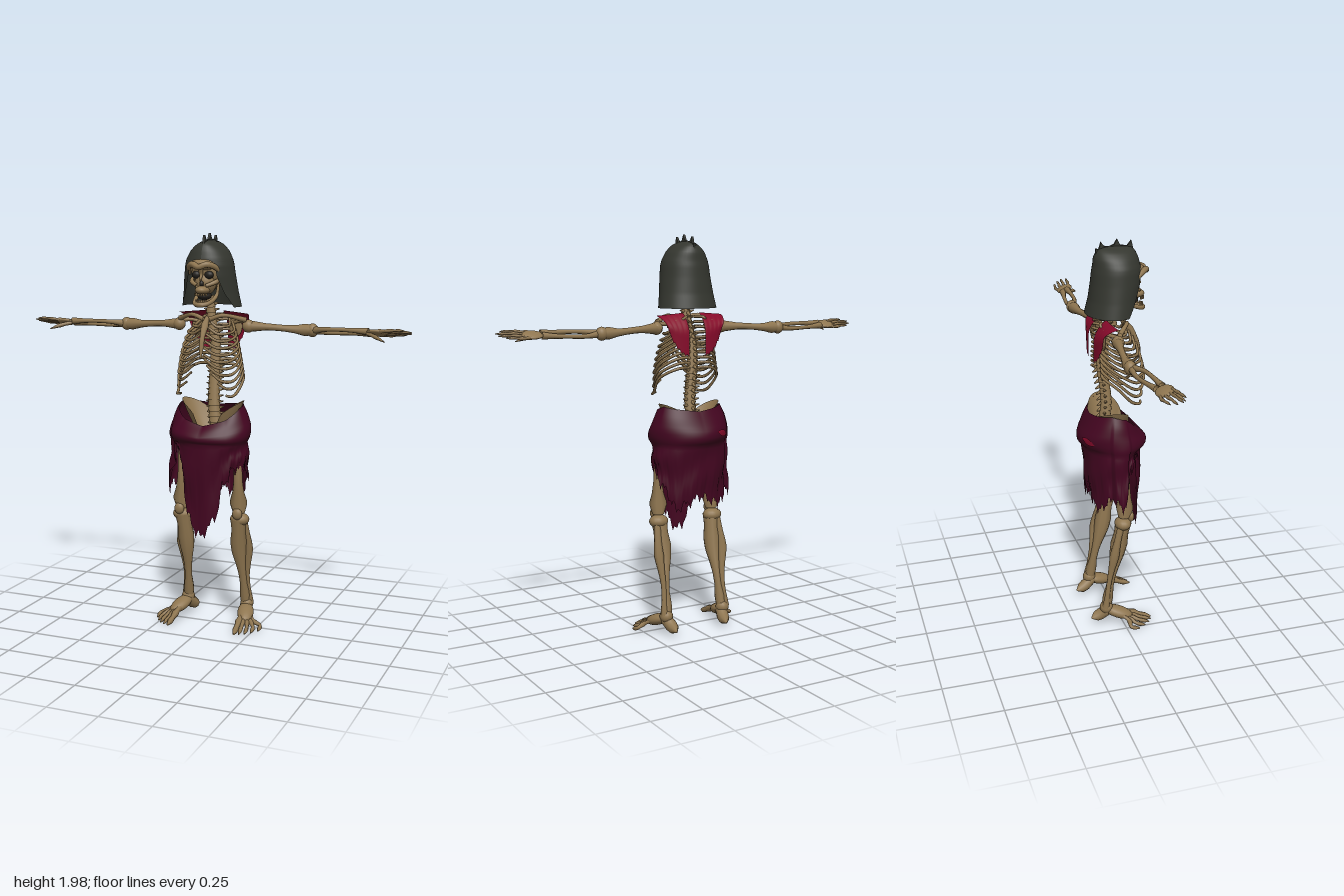
import * as THREE from 'three';

const mat = (name, color, side = THREE.FrontSide) => {
  const m = new THREE.MeshStandardMaterial({ color, side });
  m.name = name;
  return m;
};
const V = (x, y, z) => new THREE.Vector3(x, y, z);
const lerp = THREE.MathUtils.lerp;

// Piecewise linear lookup in a list of [key, value...] rows
function pick(rows, k, c = 1) {
  let i = 0;
  while (i < rows.length - 2 && k > rows[i + 1][0]) i++;
  const a = rows[i], b = rows[i + 1];
  return lerp(a[c], b[c], THREE.MathUtils.clamp((k - a[0]) / (b[0] - a[0]), 0, 1));
}

// Surface from a rule f(u, v, column) -> [x, y, z]
function sheet(nu, nv, f) {
  const p = [], idx = [];
  for (let j = 0; j <= nv; j++) for (let i = 0; i <= nu; i++) p.push(...f(i / nu, j / nv, i));
  for (let j = 0; j < nv; j++) for (let i = 0; i < nu; i++) {
    const a = j * (nu + 1) + i, b = a + nu + 1;
    idx.push(a, b, a + 1, a + 1, b, b + 1);
  }
  const g = new THREE.BufferGeometry();
  g.setAttribute('position', new THREE.Float32BufferAttribute(p, 3));
  g.setIndex(idx);
  g.computeVertexNormals();
  return g;
}

// Tube whose radius follows a list of values along its length
function taper(points, radii, seg, sides) {
  const g = new THREE.TubeGeometry(new THREE.CatmullRomCurve3(points), seg, 1, sides);
  const p = g.attributes.position, n = g.attributes.normal;
  for (let i = 0; i < p.count; i++) {
    const u = Math.floor(i / (sides + 1)) / seg * (radii.length - 1);
    const k = Math.min(Math.floor(u), radii.length - 2);
    const d = lerp(radii[k], radii[k + 1], u - k) - 1;
    p.setXYZ(i, p.getX(i) + n.getX(i) * d, p.getY(i) + n.getY(i) * d, p.getZ(i) + n.getZ(i) * d);
  }
  return g;
}

// Waist cloth: hem and rim heights by angle in degrees from the front, towards its left
const hem = [[0, 0.48], [12, 0.54], [25, 0.61], [32, 0.74], [50, 0.83], [90, 0.82], [115, 0.76], [140, 0.64],
  [180, 0.7], [220, 0.64], [250, 0.73], [268, 0.68], [279, 0.69], [283, 0.83], [299, 0.85], [302, 0.93],
  [315, 0.93], [319, 0.83], [335, 0.6], [350, 0.5], [360, 0.48]];
const rim = [[0, 1.045], [40, 1.075], [75, 1.13], [110, 1.15], [180, 1.125], [250, 1.15], [285, 1.13], [320, 1.075], [360, 1.045]];
// Rows of step, height share, half width, half depth
const drape = [[0, 0, 0.168, 0.112], [0.12, 0.25, 0.187, 0.138], [0.25, 0.6, 0.205, 0.17], [0.32, 0.82, 0.206, 0.17],
  [0.4, 1, 0.194, 0.146], [1, 1, 0.192, 0.125]];
function clothPoint(deg, v, tear = 0, lift = 0) {
  const a = deg * Math.PI / 180, low = 0.955;
  const end = Math.min(pick(hem, deg) + tear, low - 0.005);
  const y = v < 0.4 ? lerp(pick(rim, deg), low, pick(drape, v, 1)) : lerp(low, end, (v - 0.4) / 0.6);
  const folds = 1 + 0.03 * Math.sin(a * 11) * Math.max(0, v - 0.3) + 0.025 * Math.sin(a * 3 + v * 14) * Math.min(1, v * 4);
  const strip = deg > 250 && deg < 283 ? 0.035 * v : 0;
  return [-0.006 + Math.sin(a) * (pick(drape, v, 2) * folds + strip + lift), y,
    -0.012 + Math.cos(a) * (pick(drape, v, 3) * folds + lift)];
}

export function createModel() {
  const root = new THREE.Group();
  const bone = mat('bone', 0x8f7650, THREE.DoubleSide);
  const iron = mat('darkIron', 0x34362f, THREE.DoubleSide);
  const wine = mat('wineCloth', 0x430520, THREE.DoubleSide);
  const red = mat('redCloth', 0x860a2a, THREE.DoubleSide);
  const dark = mat('socketDark', 0x24211d);

  const add = (name, geo, m = bone) => {
    const mesh = new THREE.Mesh(geo, m);
    mesh.name = name;
    root.add(mesh);
    return mesh;
  };
  const limb = (name, pts, radii, seg = 16, sides = 8) => add(name, taper(pts, radii, seg, sides));
  const ball = (name, x, y, z, a, b = a, c = a, m = bone) => {
    const mesh = add(name, new THREE.SphereGeometry(1, 16, 12), m);
    mesh.position.set(x, y, z);
    mesh.scale.set(a, b, c);
    return mesh;
  };

  // Helmet: rows of y, half width, half depth, centre z, half angle of the face opening
  const rings = [
    [1.63, 0.15, 0.125, -0.012, 65], [1.7, 0.138, 0.12, 0, 47], [1.78, 0.127, 0.122, 0.013, 36],
    [1.835, 0.12, 0.12, 0.017, 33], [1.86, 0.114, 0.115, 0.017, 0], [1.9, 0.093, 0.108, 0.013, 0],
    [1.93, 0.063, 0.095, 0.012, 0], [1.947, 0.028, 0.075, 0.01, 0], [1.953, 0.001, 0.04, 0.01, 0]];
  add('helmet', sheet(40, 32, (u, v) => {
    const y = lerp(1.63, 1.953, v), open = pick(rings, y, 4) * Math.PI / 180;
    const a = lerp(open, 2 * Math.PI - open, u);
    return [Math.sin(a) * pick(rings, y, 1), y, pick(rings, y, 3) + Math.cos(a) * pick(rings, y, 2)];
  }), iron);

  // Jagged crest along the top of the helmet
  const crest = new THREE.Shape([[-0.09, 1.89], [-0.085, 1.945], [-0.07, 1.94], [-0.06, 1.975],
    [-0.045, 1.955], [-0.02, 1.95], [0.005, 1.96], [0.02, 1.985], [0.035, 1.955], [0.07, 1.95],
    [0.09, 1.975], [0.1, 1.93], [0.11, 1.89]].map(([z, y]) => new THREE.Vector2(-z, y)));
  const fin = add('crest', new THREE.ExtrudeGeometry(crest, { depth: 0.012, bevelEnabled: false }), iron);
  fin.rotation.y = Math.PI / 2;
  fin.position.x = -0.006;

  // Skull
  ball('cranium', 0, 1.81, 0.02, 0.09, 0.1, 0.098);
  ball('forehead', 0, 1.838, 0.085, 0.072, 0.032, 0.07);
  ball('face', 0, 1.75, 0.07, 0.054, 0.062, 0.055);
  ball('upperJaw', 0, 1.714, 0.112, 0.035, 0.022, 0.046);
  ball('mouth', 0, 1.685, 0.085, 0.034, 0.02, 0.042, dark);
  limb('brow', [V(-0.08, 1.79, 0.08), V(-0.068, 1.825, 0.118), V(-0.035, 1.838, 0.152), V(0, 1.826, 0.163),
    V(0.035, 1.838, 0.152), V(0.068, 1.825, 0.118), V(0.08, 1.79, 0.08)], [0.006, 0.013, 0.016, 0.015, 0.016, 0.013, 0.006], 28);
  limb('noseBridge', [V(0, 1.82, 0.14), V(0, 1.79, 0.128), V(0, 1.762, 0.138)], [0.014, 0.01, 0.004], 8);
  ball('noseHole', 0, 1.745, 0.122, 0.011, 0.015, 0.012, dark);
  limb('lowerJaw', [V(-0.056, 1.74, 0.045), V(-0.052, 1.685, 0.06), V(-0.032, 1.65, 0.13), V(0, 1.645, 0.15),
    V(0.032, 1.65, 0.13), V(0.052, 1.685, 0.06), V(0.056, 1.74, 0.045)], [0.006, 0.01, 0.011, 0.013, 0.011, 0.01, 0.006], 28);
  for (let i = 0; i < 7; i++) {
    const a = (i - 3) * 0.33;
    for (const [y, r] of [[1.694, 0.044], [1.663, 0.038]]) {
      const tooth = add('tooth', new THREE.BoxGeometry(0.008, 0.012, 0.006));
      tooth.position.set(Math.sin(a) * r * 0.75, y, 0.11 + Math.cos(a) * r);
      tooth.rotation.y = a;
    }
  }

  // Spine
  const spine = new THREE.CatmullRomCurve3([V(0, 1.67, 0.015), V(0, 1.58, -0.005), V(0, 1.46, -0.055),
    V(0, 1.35, -0.058), V(0, 1.25, -0.042), V(0, 1.15, -0.037), V(0, 1.0, -0.07)]);
  for (let i = 0; i < 24; i++) {
    const t = i / 23, p = spine.getPointAt(t), r = lerp(0.022, 0.031, t);
    add('vertebra', new THREE.CylinderGeometry(r * 0.9, r * 1.1, 0.029, 10)).position.copy(p);
    limb('sideSpurs', [V(-r - 0.017, p.y + 0.006, p.z - 0.012), V(0, p.y, p.z - 0.006), V(r + 0.017, p.y + 0.006, p.z - 0.012)],
      [0.003, 0.014, 0.003], 6, 6);
    limb('backSpur', [p, V(0, p.y - 0.01, p.z - 0.025), V(0, p.y - 0.022, p.z - 0.046)], [0.012, 0.01, 0.003], 5, 6);
  }
  limb('sternum', [V(0, 1.58, 0.048), V(0, 1.55, 0.075), V(0, 1.48, 0.117), V(0, 1.385, 0.138)], [0.01, 0.02, 0.013, 0.013, 0.004]);

  for (const s of [-1, 1]) {
    const P = (x, y, z) => V(s * x, y, z);

    // Face details
    ball('eyeSocket', s * 0.033, 1.787, 0.108, 0.023, 0.019, 0.017, dark);
    limb('cheekbone', [P(0.076, 1.775, 0.045), P(0.06, 1.752, 0.098), P(0.022, 1.735, 0.126)], [0.005, 0.012, 0.009], 10);

    // Ribs: the upper ones join the sternum, the lower ones leave an arch
    const arch = [[0.02, 1.385], [0.032, 1.355], [0.052, 1.315], [0.082, 1.265], [0.118, 1.205]];
    for (let i = 0; i <= 10; i++) {
      const t = i / 10, yb = 1.588 - 0.25 * t, w = 0.09 + 0.075 * Math.sqrt(t), yf = yb - 0.065 - 0.075 * t;
      const zf = 0.055 + 0.085 * Math.sin(Math.min(1, t * 1.6) * Math.PI / 2) - 0.12 * Math.max(0, t - 0.7);
      const [xe, ye] = i < 6 ? [0.012, 1.565 - i * 0.032] : arch[i - 6];
      const zs = -0.035 - 0.03 * Math.sin(Math.min(1, t * 2) * Math.PI / 2);
      limb('rib', [P(0.015, yb, zs), P(w * 0.6, yb - 0.003, -0.08), P(w, yb - 0.05, -0.02),
        P(w * 0.93, yf + 0.012, zf * 0.55), P((w + xe) * 0.5, lerp(yf, ye, 0.25), zf * 0.92), P(xe, ye, zf)],
      [0.007, 0.0075, 0.007, 0.007, 0.008, 0.006], 26, 6);
    }
    limb('collarbone', [P(0.015, 1.57, 0.06), P(0.08, 1.59, 0.045), P(0.175, 1.565, -0.02)], [0.012, 0.01, 0.014], 12);
    limb('shoulderBladeRidge', [P(0.06, 1.53, -0.075), P(0.12, 1.555, -0.06), P(0.18, 1.555, -0.03)], [0.006, 0.009, 0.012], 10);
    ball('shoulderBlade', s * 0.1, 1.525, -0.077, 0.035, 0.05, 0.006);

    // Torn red cloth lying over the shoulder and down the shoulder blade
    add('shoulderCloth', sheet(14, 14, (u, v, i) => [s * (lerp(0.045, 0.185, u) - 0.045 * u * v),
      lerp(1.607 - 0.012 * u, 1.395 + 0.095 * u * u + (i % 3) * 0.006, Math.pow(v, 1.25)),
      -0.045 - 0.066 * Math.sin(Math.min(1, v * 1.7) * Math.PI / 2) + 0.018 * u * u]), red);

    // Arm
    ball('shoulderJoint', s * 0.185, 1.535, -0.03, 0.032, 0.032, 0.03);
    limb('upperArm', [P(0.175, 1.535, -0.03), P(0.3, 1.532, -0.05), P(0.42, 1.524, -0.066), P(0.515, 1.522, -0.07)],
      [0.03, 0.024, 0.017, 0.016, 0.016, 0.02, 0.031, 0.02], 24, 10);
    ball('elbow', s * 0.5, 1.522, -0.072, 0.03, 0.033, 0.028);
    for (const [name, dz, dy] of [['radius', 0.024, 0.009], ['ulna', -0.014, -0.01]]) {
      limb(name, [P(0.5, 1.522, -0.068), P(0.58, 1.523 + dy, -0.06 + dz), P(0.68, 1.525 + dy, -0.05 + dz), P(0.79, 1.526 + dy * 0.5, -0.036 + dz * 0.6)],
        [0.02, 0.012, 0.01, 0.01, 0.012, 0.018], 18);
    }

    // Hand, its back edge tilted down and the thumb hanging
    ball('palm', s * 0.83, 1.525, -0.025, 0.055, 0.014, 0.042).rotation.x = -0.35;
    const reach = [0.965, 0.995, 1.0, 0.97];
    for (let f = 0; f < 4; f++) {
      const z = -0.058 + f * 0.022, y = 1.512 + f * 0.009;
      limb('finger', [P(0.8, 1.521 + f * 0.003, -0.035 + f * 0.008), P(0.88, y, z), P(0.93, y + 0.004, z + 0.004), P(reach[f], y + 0.004, z + 0.01)],
        [0.01, 0.009, 0.011, 0.007, 0.009, 0.006, 0.007, 0.002], 21, 6);
    }
    limb('thumb', [P(0.79, 1.522, -0.01), P(0.835, 1.51, 0.023), P(0.885, 1.491, 0.05)], [0.012, 0.009, 0.011, 0.007, 0.002], 14, 6);

    // Pelvis
    add('pelvisWing', sheet(24, 8, (u, v) => {
      const a = lerp(0.35, 2.95, u), flare = Math.pow(v, 0.7);
      return [s * Math.sin(a) * lerp(0.05, 0.164, flare), lerp(0.97, 1.06 + 0.104 * Math.sqrt(Math.sin(u * Math.PI)), v),
        -0.025 + Math.cos(a) * lerp(0.045, 0.095, flare)];
    }));
    limb('pubicArch', [P(0.11, 1.0, 0.01), P(0.06, 0.99, 0.06), P(0, 0.975, 0.07)], [0.022, 0.016, 0.02], 10);

    // Leg
    limb('thighBone', [P(0.1, 1.01, -0.005), P(0.142, 0.96, 0.0), P(0.152, 0.78, 0.02), P(0.155, 0.6, 0.012)],
      [0.03, 0.028, 0.024, 0.023, 0.022, 0.023, 0.03, 0.046, 0.03], 28, 10);
    ball('kneecap', s * 0.158, 0.6, 0.045, 0.026, 0.03, 0.018);
    ball('knee', s * 0.157, 0.565, 0.005, 0.05, 0.034, 0.042);
    limb('shinBone', [P(0.152, 0.57, 0.01), P(0.144, 0.4, -0.02), P(0.152, 0.25, -0.055), P(0.16, 0.09, -0.085)],
      [0.042, 0.036, 0.043, 0.038, 0.027, 0.02, 0.019, 0.027, 0.024], 28, 10);
    limb('calfBone', [P(0.175, 0.55, -0.012), P(0.185, 0.41, -0.045), P(0.172, 0.25, -0.07), P(0.18, 0.1, -0.092)],
      [0.018, 0.019, 0.026, 0.018, 0.013, 0.013, 0.02], 24);

    // Foot, turned outward
    ball('ankle', s * 0.165, 0.095, -0.085, 0.034);
    limb('heel', [P(0.165, 0.085, -0.07), P(0.152, 0.05, -0.115), P(0.146, 0.028, -0.16)], [0.032, 0.03, 0.031, 0.027, 0.004], 12, 10);
    ball('instep', s * 0.18, 0.066, -0.025, 0.042, 0.029, 0.078).rotation.set(0.32, s * 0.3, 0, 'YXZ');
    for (let f = 0; f < 5; f++) {
      const x = 0.182 + f * 0.024, z = 0.15 - f * f * 0.0055, r = f ? 0.011 : 0.016;
      limb('toe', [P(0.162 + f * 0.009, 0.07, -0.03), P(lerp(0.165 + f * 0.009, x, 0.5), 0.05 - f * 0.003, 0.04 - f * 0.006),
        P(x - 0.004, 0.022, z - 0.045), P(x, 0.007, z)], [r, r * 1.1, r * 0.8, r * 1.2, r * 0.8, r, r * 0.3], 20, 7);
    }
  }

  // Ragged waist cloth with a red tear at the back
  add('waistCloth', sheet(144, 30, (u, v, i) => clothPoint((300 + u * 360) % 360, v,
    0.018 * Math.sin((i % 144) * 0.9) + 0.016 * Math.sin((i % 144) * 2.1))), wine);
  add('redTear', sheet(10, 3, (u, v) => clothPoint(lerp(198, 224, u),
    0.25 + 0.04 * u + (v - 0.5) * 0.06 * Math.sin(u * Math.PI), 0, 0.005)), red);

  return root;
}
